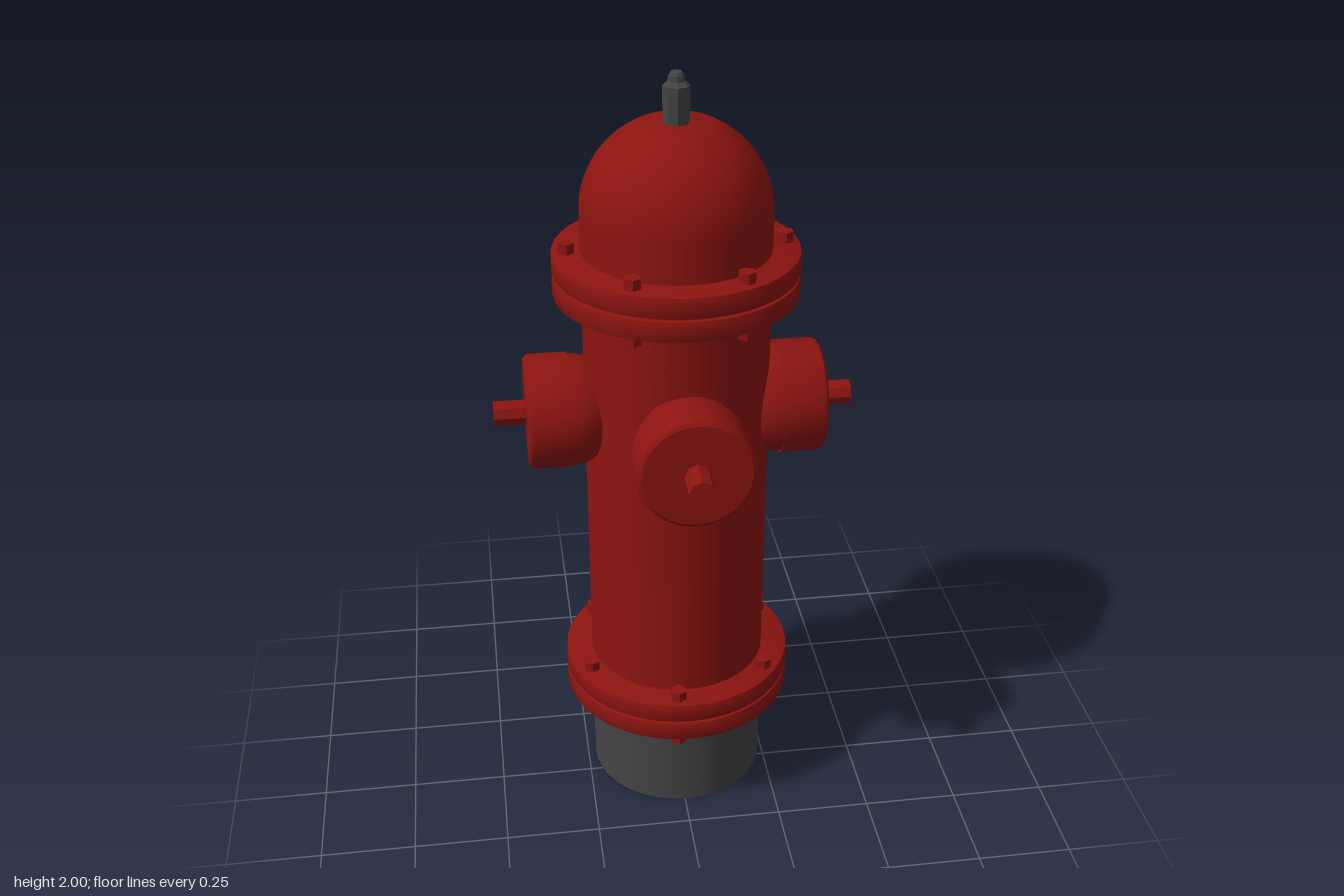
import * as THREE from 'three';
import { toCreasedNormals } from 'three/addons/utils/BufferGeometryUtils.js';

const red = new THREE.MeshStandardMaterial({ color: 0x8c1410 });
const grey = new THREE.MeshStandardMaterial({ color: 0x444444 });

// Turned solid from [radius, height] pairs, listed bottom to top
function turned(profile, segments = 40) {
  const points = profile.map(([r, y]) => new THREE.Vector2(r, y));
  return toCreasedNormals(new THREE.LatheGeometry(points, segments), 0.5);
}

function add(parent, name, geometry, material = red) {
  const mesh = new THREE.Mesh(geometry, material);
  mesh.name = name;
  parent.add(mesh);
  return mesh;
}

// Quarter arc of a dome, from polar angle a to b (radians above the rim)
function arc(radius, centreY, a, b, steps) {
  return Array.from({ length: steps + 1 }, (_, i) => {
    const t = a + ((b - a) * i) / steps;
    return [radius * Math.cos(t), centreY + radius * Math.sin(t)];
  });
}

// Two bolted discs; bolts run through both faces
function makeFlange(name, centreY, boltAngle) {
  const flange = new THREE.Group();
  flange.name = name;
  const h = 0.056, R = 0.308, b = 0.007;
  for (const y of [-0.058, 0.002]) {
    add(flange, 'flangeDisc', turned([
      [0, y], [R - b, y], [R - b * 0.3, y + b * 0.3], [R, y + b],
      [R, y + h - b], [R - b * 0.3, y + h - b * 0.3], [R - b, y + h], [0, y + h],
    ]));
  }
  // Gasket closing the narrow seam
  add(flange, 'gasket', new THREE.CylinderGeometry(0.297, 0.297, 0.02, 40));
  for (let i = 0; i < 6; i++) {
    const a = boltAngle + (i * Math.PI) / 3;
    const bolt = add(flange, 'bolt', toCreasedNormals(new THREE.CylinderGeometry(0.022, 0.022, 0.17, 6), 0.5));
    bolt.position.set(0.27 * Math.sin(a), 0, 0.27 * Math.cos(a));
  }
  flange.position.y = centreY;
  return flange;
}

// Outlet with rounded root, cap and operating stem, pointing along +z
function makeNozzle(name) {
  const nozzle = new THREE.Group();
  nozzle.name = name;
  const root = turned(arc(0.143, 0.27, -Math.PI / 2, 0, 10));
  const cap = turned([
    [0, 0.268], [0.147, 0.268], [0.147, 0.365], [0.144, 0.374], [0.135, 0.38], [0, 0.38],
  ]);
  const stem = toCreasedNormals(new THREE.CylinderGeometry(0.033, 0.033, 0.1, 8), 0.5);
  stem.translate(0, 0.412, 0);
  for (const [part, geometry] of [['nozzleRoot', root], ['nozzleCap', cap], ['nozzleStem', stem]]) {
    add(nozzle, part, geometry.rotateX(Math.PI / 2));
  }
  return nozzle;
}

export function createModel() {
  const model = new THREE.Group();
  model.name = 'hydrant';
  const R = 0.237;

  // Barrel and buried base
  add(model, 'base', turned([[0, 0], [R, 0], [R, 0.218], [0, 0.218]]), grey);
  add(model, 'barrel', turned([[0, 0.218], [R, 0.218], [R, 1.51], [0, 1.51]]));

  // Bonnet with a small flat on top
  add(model, 'bonnet', turned([
    [R, 1.51], ...arc(R, 1.66, 0, Math.acos(0.09 / R), 12), [0, 1.879],
  ]));

  // Operating nut
  add(model, 'topNut', toCreasedNormals(turned([
    [0.033, 1.87], [0.033, 1.968], [0.021, 1.978], [0.019, 1.992], [0.014, 2], [0, 2],
  ], 8), 0.3), grey);

  // Flanges
  model.add(makeFlange('lowerFlange', 0.328, -0.113));
  model.add(makeFlange('upperFlange', 1.508, Math.PI / 6));

  // Outlets: front, left and right
  for (const [name, angle, shift] of [
    ['frontNozzle', 0, 0], ['leftNozzle', Math.PI / 2, -0.008], ['rightNozzle', -Math.PI / 2, -0.008],
  ]) {
    const nozzle = makeNozzle(name);
    nozzle.rotation.y = angle;
    nozzle.position.set(shift, 1.135, 0);
    model.add(nozzle);
  }

  // Centre the whole body within its footprint
  for (const part of model.children) {
    part.position.x += 0.008;
    part.position.z -= 0.077;
  }
  return model;
}
